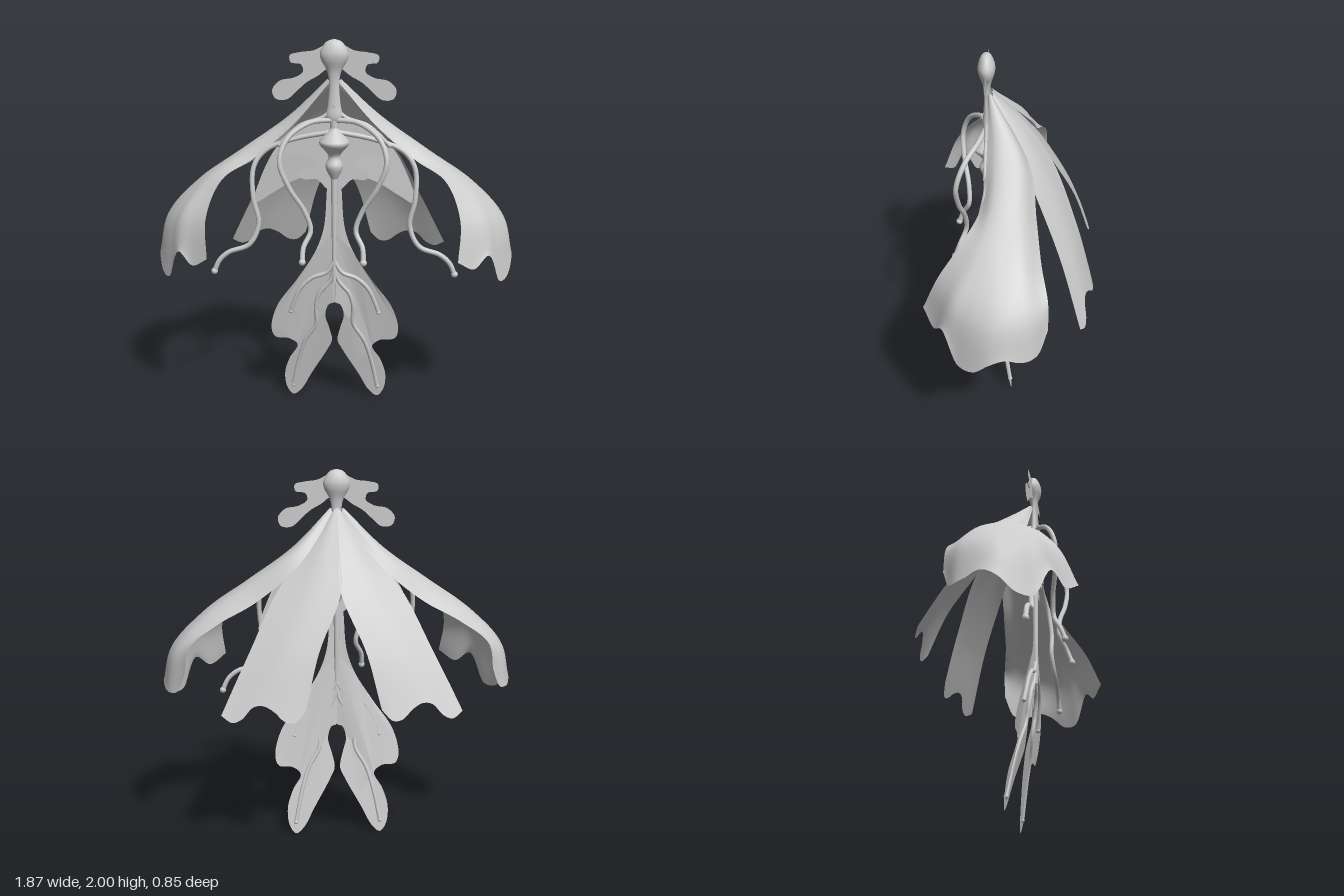
import * as THREE from 'three';

const material = new THREE.MeshStandardMaterial({ color: 0xcccccc, side: THREE.DoubleSide });
const V = (p) => new THREE.Vector3(p[0], p[1], p[2] ?? 0);
const spline = (pts) => new THREE.CatmullRomCurve3(pts.map(V));

function add(parent, geometry, name) {
  const mesh = new THREE.Mesh(geometry, material);
  mesh.name = name;
  parent.add(mesh);
  return mesh;
}

// Petal lofted through rows of points; the hem list lowers or raises its free end,
// lean carries that shift along in depth
function petal(rows, hem, lean = 0, nu = 60, nv = 50) {
  const across = rows.map(spline);
  const hemCurve = spline(hem.map((h, i) => [i / (hem.length - 1), h]));
  const pos = [], index = [];
  for (let j = 0; j <= nu; j++) {
    const s = j / nu;
    const along = new THREE.CatmullRomCurve3(across.map((c) => c.getPoint(s)));
    const drop = hemCurve.getPoint(s).y;
    for (let i = 0; i <= nv; i++) {
      const t = i / nv, p = along.getPoint(t), shift = drop * t ** 9;
      pos.push(p.x, p.y + shift, p.z + lean * shift);
      if (i < nv && j < nu) {
        const a = j * (nv + 1) + i, b = a + nv + 1;
        index.push(a, a + 1, b, b, a + 1, b + 1);
      }
    }
  }
  const g = new THREE.BufferGeometry();
  g.setAttribute('position', new THREE.Float32BufferAttribute(pos, 3));
  g.setIndex(index);
  g.computeVertexNormals();
  return g;
}

// Thin leaf from half an outline, bent in depth by a rule
function leaf(outline, depth) {
  const pts = spline(outline).getPoints(outline.length * 6).map((p) => new THREE.Vector2(p.x, p.y));
  const g = new THREE.ShapeGeometry(new THREE.Shape(pts));
  const p = g.attributes.position;
  for (let i = 0; i < p.count; i++) p.setZ(i, depth(p.getX(i), p.getY(i)));
  g.computeVertexNormals();
  return g;
}

// Round tendril with a small knob at its end
function tendril(parent, pts, radius, knob, name) {
  const curve = spline(pts);
  add(parent, new THREE.TubeGeometry(curve, 60, radius, 10), name);
  const ball = add(parent, new THREE.SphereGeometry(knob, 14, 10), name + 'Tip');
  ball.position.copy(curve.getPoint(1));
}

function lathe(profile, segments = 32) {
  const pts = new THREE.SplineCurve(profile.map((p) => new THREE.Vector2(...p))).getPoints(60);
  pts.forEach((p) => { p.x = Math.max(p.x, 0); });
  return new THREE.LatheGeometry(pts, segments);
}

// Depth of the hanging leaf: upright above, swept back below
const sweep = spline([[0, 0.01], [0.2, 0.04], [0.4, 0.08], [0.6, 0.115], [0.8, 0.133], [1, 0.135]]);
const leafDepth = (x, y) => (y >= 1 ? 0.135 : sweep.getPoint(Math.max(y, 0)).y);

function buildHalf() {
  const half = new THREE.Group();

  // Broad arched side petal, each row running from front edge over the ridge to back edge
  add(half, petal([
    [[0.02, 1.79, 0.13], [0.03, 1.8, 0.125], [0.035, 1.8, 0.115], [0.03, 1.79, 0.108], [0.02, 1.77, 0.1]],
    [[0.2, 1.58, 0.13], [0.23, 1.6, 0.085], [0.24, 1.6, 0.03], [0.24, 1.58, -0.03], [0.22, 1.51, -0.08]],
    [[0.41, 1.4, 0.15], [0.46, 1.43, 0.1], [0.48, 1.43, 0.03], [0.47, 1.41, -0.05], [0.43, 1.34, -0.115]],
    [[0.56, 1.31, 0.23], [0.66, 1.29, 0.15], [0.72, 1.26, 0.05], [0.7, 1.26, -0.06], [0.63, 1.23, -0.14]],
    [[0.63, 1.14, 0.35], [0.79, 1.11, 0.24], [0.88, 1.08, 0.09], [0.86, 1.09, -0.07], [0.77, 1.12, -0.172]],
    [[0.62, 0.93, 0.43], [0.82, 0.86, 0.29], [0.93, 0.87, 0.1], [0.9, 0.9, -0.08], [0.8, 0.96, -0.175]],
  ], [0.02, 0, 0.085, -0.06, -0.065, 0, 0.025, -0.015, -0.04, -0.05, 0.02]), 'sidePetal');

  // Long flat back petal: inner edge, middle, outer edge
  add(half, petal([
    [[0, 1.8, 0.11], [0.015, 1.79, 0.105], [0.03, 1.77, 0.11]],
    [[0, 1.6, -0.07], [0.09, 1.6, -0.05], [0.18, 1.58, -0.01]],
    [[0, 1.4, -0.195], [0.16, 1.39, -0.175], [0.33, 1.38, -0.12]],
    [[0.12, 1.11, -0.32], [0.29, 1.11, -0.295], [0.46, 1.12, -0.235]],
    [[0.19, 0.82, -0.41], [0.4, 0.82, -0.39], [0.61, 0.82, -0.335]],
  ], [0.02, -0.03, -0.025, 0.02, 0.045, 0.035, -0.02, -0.04, -0.01], 0.4), 'backPetal');

  // Lobed crest beside the top bulb
  add(half, leaf([
    [0, 1.995], [0.05, 1.97], [0.1, 1.945], [0.17, 1.935], [0.22, 1.92], [0.215, 1.885],
    [0.165, 1.875], [0.155, 1.84], [0.2, 1.81], [0.27, 1.795], [0.31, 1.75], [0.295, 1.705],
    [0.24, 1.7], [0.19, 1.74], [0.14, 1.785], [0.08, 1.82], [0.04, 1.85], [0, 1.86],
  ], () => 0.135), 'crest');

  // Hanging leaf
  add(half, leaf([
    [0, 1.55], [0.03, 1.4], [0.04, 1.2], [0.055, 1.03], [0.1, 0.9], [0.2, 0.74], [0.31, 0.58],
    [0.345, 0.44], [0.325, 0.385], [0.25, 0.375], [0.205, 0.335], [0.25, 0.25], [0.28, 0.15],
    [0.27, 0.05], [0.235, 0.005], [0.19, 0.04], [0.13, 0.15], [0.04, 0.31], [-0.0 + 0.015, 0.37],
    [0.03, 0.45], [0.05, 0.53], [0.03, 0.595], [0, 0.61], [0, 0.9], [0, 1.2],
  ], leafDepth), 'hangingLeaf');

  // Leaf veins
  const onLeaf = ([x, y]) => [x, y, leafDepth(x, y)];
  [[[0, 0.85], [0.04, 0.785], [0.12, 0.75], [0.18, 0.69], [0.22, 0.6], [0.235, 0.55]],
    [[0, 0.82], [0.02, 0.74], [0.08, 0.66], [0.1, 0.58], [0.1, 0.48], [0.16, 0.37], [0.2, 0.24], [0.235, 0.07]],
  ].forEach((v) => tendril(half, v.map(onLeaf), 0.011, 0.013, 'leafVein'));

  // Pointed inner wing and the small notched wing in front of it
  add(half, leaf([
    [0, 1.6], [0.14, 1.57], [0.28, 1.47], [0.37, 1.32], [0.42, 1.15], [0.33, 1.2],
    [0.22, 1.27], [0.1, 1.31], [0, 1.31], [0, 1.45],
  ], (x) => 0.125 - 0.1 * x), 'innerWing');
  add(half, leaf([
    [0, 1.6], [0.12, 1.57], [0.24, 1.51], [0.29, 1.45], [0.25, 1.42], [0.18, 1.425],
    [0.12, 1.395], [0.1, 1.365], [0.14, 1.345], [0.18, 1.32], [0.16, 1.29], [0.09, 1.29],
    [0.03, 1.24], [0, 1.4],
  ], () => 0.135), 'notchedWing');

  // Ribs along the top of the wings
  tendril(half, [[0, 1.66, 0.135], [0.06, 1.61, 0.135], [0.17, 1.57, 0.135], [0.28, 1.47, 0.135]],
    0.011, 0.012, 'wingRib');

  // Curling stamens
  tendril(half, [
    [0, 1.6, 0.14], [0.12, 1.59, 0.17], [0.23, 1.52, 0.24], [0.265, 1.41, 0.28], [0.22, 1.28, 0.275],
    [0.145, 1.15, 0.25], [0.115, 1.05, 0.25], [0.15, 0.97, 0.285], [0.155, 0.9, 0.31],
  ], 0.013, 0.018, 'innerStamen');
  tendril(half, [
    [0, 1.54, 0.135], [0.2, 1.5, 0.13], [0.35, 1.44, 0.13], [0.41, 1.36, 0.15], [0.415, 1.2, 0.17],
    [0.39, 1.06, 0.17], [0.44, 0.95, 0.18], [0.55, 0.905, 0.18], [0.6, 0.86, 0.18], [0.628, 0.8, 0.18],
  ], 0.013, 0.018, 'outerStamen');
  return half;
}

export function createModel() {
  const model = new THREE.Group();
  model.name = 'hangingFlower';

  // Mirrored halves
  for (const side of [1, -1]) {
    const half = buildHalf();
    half.name = side > 0 ? 'leftHalf' : 'rightHalf';
    half.scale.x = side;
    model.add(half);
  }

  // Top bulb and neck, flattened front to back
  const bulb = add(model, lathe([
    [0, 1.56], [0.04, 1.61], [0.032, 1.68], [0.025, 1.77], [0.035, 1.84], [0.066, 1.9],
    [0.068, 1.94], [0.04, 1.985], [0, 2],
  ]), 'topBulb');
  bulb.position.z = 0.135;
  bulb.scale.z = 0.6;

  // Beaded pendant
  const pendant = add(model, lathe([
    [0, 1.27], [0.02, 1.3], [0.045, 1.36], [0.03, 1.415], [0.075, 1.475], [0.065, 1.505],
    [0.025, 1.55], [0, 1.6],
  ]), 'pendant');
  pendant.position.z = 0.135;

  // Stem running down into the hanging leaf
  const stem = add(model, new THREE.CylinderGeometry(0.022, 0.01, 0.95, 16), 'stem');
  stem.position.set(0, 1.2, 0.135);
  return model;
}
